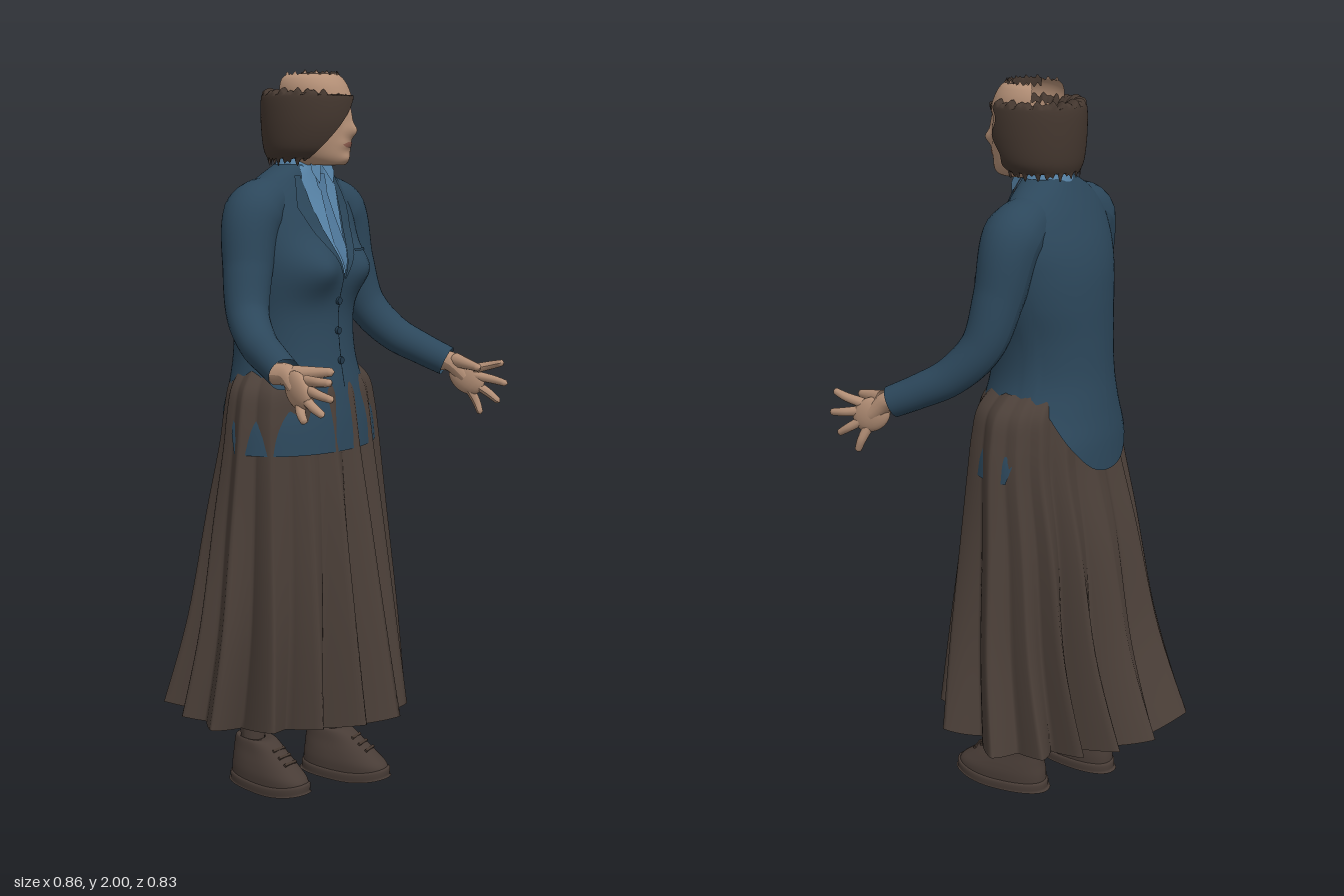
import * as THREE from 'three';

const mat = (name, color) => {
  const m = new THREE.MeshStandardMaterial({ color, side: THREE.DoubleSide });
  m.name = name;
  return m;
};
const M = {
  jacket: mat('jacket blue', 0x2c475b), trim: mat('dark navy', 0x223a4c), shirt: mat('shirt blue', 0x5884a8),
  tie: mat('tie blue', 0x4f789b), skirt: mat('skirt brown', 0x4c4039), hair: mat('hair brown', 0x44372f),
  shoe: mat('shoe brown', 0x483c36), skin: mat('skin', 0xb38f76), lip: mat('lip', 0x946253), mouth: mat('mouth pink', 0xcf6b62),
};

// Surface from a grid of points: u runs round or across, v runs upward or along
function grid(nu, nv, fn) {
  const pos = [], idx = [];
  for (let j = 0; j <= nv; j++) for (let i = 0; i <= nu; i++) pos.push(...fn(i / nu, j / nv));
  for (let j = 0; j < nv; j++) for (let i = 0; i < nu; i++) {
    const a = j * (nu + 1) + i, b = a + 1, c = a + nu + 1, d = c + 1;
    idx.push(a, b, d, a, d, c);
  }
  const g = new THREE.BufferGeometry();
  g.setAttribute('position', new THREE.Float32BufferAttribute(pos, 3));
  g.setIndex(idx);
  g.computeVertexNormals();
  return g;
}

// Smooth value between rings [y, centre x, half width, back z, front z]
function ringAt(rings, t) {
  const f = Math.min(t, 0.99999) * (rings.length - 1), i = Math.floor(f), k = f - i;
  const at = n => rings[Math.max(0, Math.min(rings.length - 1, n))];
  return rings[0].map((_, c) => {
    const [a, b, d, e] = [at(i - 1)[c], at(i)[c], at(i + 1)[c], at(i + 2)[c]];
    return b + 0.5 * k * (d - a + k * (2 * a - 5 * b + 4 * d - e + k * (3 * (b - d) + e - a)));
  });
}

// Stack of ellipses; power below 1 makes them squarer, start(angle) trims the lower edge
function loft(rings, { nu = 48, nv = 40, power = 1, start = () => 0, from = () => -Math.PI, to = () => Math.PI, bump, mod } = {}) {
  const sp = v => Math.sign(v) * Math.abs(v) ** power;
  return grid(nu, nv, (u, v) => {
    const edge = start(-Math.PI + 2 * Math.PI * u);
    const [y, cx, rx, zb, zf] = ringAt(rings, edge + (1 - edge) * v);
    const th = from(y) + (to(y) - from(y)) * u, c = Math.cos(th);
    const p = [cx + rx * sp(Math.sin(th)), y, (zb + zf) / 2 + (zf - zb) / 2 * sp(c)];
    if (bump && c > 0) p[2] += bump(p[0], y) * Math.min(1, c * 3);
    if (mod) mod(p, th, v);
    return p;
  });
}

// Front depth of a loft at x, y, so that plates can follow it
function frontZ(rings, bump, x, y) {
  let best = null;
  for (let i = 0; i <= 200; i++) {
    const r = ringAt(rings, i / 200);
    if (!best || Math.abs(r[0] - y) < Math.abs(best[0] - y)) best = r;
  }
  const [, cx, rx, zb, zf] = best;
  const s = Math.min(1, Math.abs((x - cx) / rx));
  return (zb + zf) / 2 + (zf - zb) / 2 * Math.sqrt(1 - s * s) + bump(x, y);
}

// Thin plate on a loft, from rows [y, left x, right x] listed upward
function plate(rings, bump, rows, off) {
  return grid(8, (rows.length - 1) * 6, (u, v) => {
    const f = Math.min(v, 0.99999) * (rows.length - 1), i = Math.floor(f);
    const [y, l, r] = rows[i].map((a, c) => a + (rows[i + 1][c] - a) * (f - i));
    const x = l + (r - l) * u;
    return [x, y, frontZ(rings, bump, x, y) + off];
  });
}

// Tapered tube through points [x, y, z, radius]
function limb(pts, nu = 16, nv = 28) {
  const curve = new THREE.CatmullRomCurve3(pts.map(p => new THREE.Vector3(p[0], p[1], p[2])));
  const { normals, binormals } = curve.computeFrenetFrames(nv);
  return grid(nu, nv, (u, v) => {
    const f = Math.min(curve.getUtoTmapping(v), 0.99999) * (pts.length - 1), i = Math.floor(f);
    const r = pts[i][3] + (pts[i + 1][3] - pts[i][3]) * (f - i), j = Math.round(v * nv), a = u * Math.PI * 2;
    return curve.getPointAt(v).addScaledVector(normals[j], r * Math.cos(a))
      .addScaledVector(binormals[j], r * Math.sin(a)).toArray();
  });
}

const bell = (x, y, cx, cy, sx, sy) => Math.exp(-(((x - cx) / sx) ** 2) - ((y - cy) / sy) ** 2);

const TORSO = [
  [1.0, 0.03, 0.26, -0.222, 0.161], [1.08, 0.03, 0.246, -0.216, 0.154], [1.16, 0.025, 0.209, -0.204, 0.142],
  [1.25, 0.02, 0.183, -0.193, 0.125], [1.35, 0.02, 0.184, -0.188, 0.115], [1.45, 0.025, 0.203, -0.185, 0.118],
  [1.53, 0.025, 0.215, -0.178, 0.11], [1.6, 0.025, 0.22, -0.16, 0.088], [1.67, 0.025, 0.205, -0.13, 0.06],
  [1.72, 0.025, 0.155, -0.104, 0.043], [1.76, 0.025, 0.078, -0.08, 0.035],
];
const bust = (x, y) => 0.047 * (bell(x, y, 0.115, 1.485, 0.07, 0.06) + bell(x, y, -0.07, 1.485, 0.07, 0.06));

const SKIRT = [
  [0.235, 0.035, 0.312, -0.385, 0.245], [0.5, 0.033, 0.293, -0.305, 0.22], [0.8, 0.034, 0.273, -0.25, 0.185],
  [1.0, 0.033, 0.262, -0.203, 0.158], [1.1, 0.03, 0.252, -0.188, 0.148], [1.17, 0.028, 0.234, -0.178, 0.136],
  [1.22, 0.025, 0.185, -0.165, 0.105],
];

const FACE = [
  [1.765, 0.033, 0.03, 0.0, 0.085], [1.757, 0.035, 0.046, -0.02, 0.112], [1.775, 0.033, 0.067, -0.05, 0.126],
  [1.81, 0.03, 0.08, -0.07, 0.129], [1.86, 0.028, 0.088, -0.08, 0.131], [1.92, 0.025, 0.093, -0.08, 0.134],
  [1.955, 0.022, 0.093, -0.08, 0.125], [1.98, 0.02, 0.084, -0.07, 0.11], [1.993, 0.02, 0.07, -0.05, 0.094],
];
const features = (x, y) => 0.027 * bell(x, y, 0.038, 1.845, 0.015, 0.02) + 0.012 * bell(x, y, 0.036, 1.88, 0.01, 0.03)
  + 0.007 * bell(x, y, 0.036, 1.812, 0.025, 0.014) + 0.006 * bell(x, y, 0.036, 1.772, 0.02, 0.014)
  - 0.01 * (bell(x, y, 0.068, 1.9, 0.018, 0.013) + bell(x, y, 0.0, 1.9, 0.018, 0.013));

const HAIR = [
  [1.768, 0.022, 0.09, -0.1, 0.085], [1.8, 0.022, 0.112, -0.111, 0.118], [1.86, 0.021, 0.121, -0.117, 0.138],
  [1.92, 0.02, 0.122, -0.117, 0.142], [1.944, 0.02, 0.116, -0.11, 0.135], [1.948, 0.02, 0.092, -0.09, 0.11],
  [1.93, 0.02, 0.076, -0.065, 0.09],
];
const CROWN = [[1.991, 0.02, 0.075, -0.055, 0.099], [1.996, 0.02, 0.069, -0.05, 0.092], [1.975, 0.02, 0.068, -0.05, 0.091]];

export function createModel() {
  const root = new THREE.Group();
  const add = (name, geo, material, parent = root) => {
    const m = new THREE.Mesh(geo, material);
    m.name = name;
    parent.add(m);
    return m;
  };
  const group = name => {
    const g = new THREE.Group();
    g.name = name;
    root.add(g);
    return g;
  };

  // Skirt: uneven sharp pleats that deepen toward the hem, hanging closer along one diagonal
  add('pleatedSkirt', loft(SKIRT, {
    nu: 220, nv: 36,
    mod(p, th) {
      const s = 15 * th + 1.2 * Math.sin(3 * th) + 0.8 * Math.sin(2 * th + 1);
      const wave = Math.asin(Math.sin(s)) * 2 / Math.PI * (0.8 + 0.25 * Math.sin(5 * th + 2));
      const drop = Math.max(0, (1.22 - p[1]) / 0.98);
      const a = (0.007 + 0.048 * drop ** 1.4) * wave, cling = 0.055 * drop * Math.max(0, Math.cos(2 * (th - 2.36)));
      p[0] += (a - cling) * Math.sin(th) + 0.5 * a * Math.cos(th) * drop;
      p[2] += (a - cling) * Math.cos(th) - 0.5 * a * Math.sin(th) * drop;
      p[1] += 0.015 * wave * drop ** 4;
    },
  }), M.skirt);

  // Jacket, its hem rising to the hips at the back, with shirt, tie, lapels, pocket and buttons
  const jacket = group('jacket');
  add('jacketBody', loft(TORSO, {
    nu: 72, nv: 60, bump: bust,
    start: th => 0.23 * Math.min(1, 1.3 * Math.sin(th) ** 2) * THREE.MathUtils.clamp(-4 * Math.cos(th) - 0.4, 0, 1),
  }), M.jacket, jacket);
  const onTorso = (name, rows, off, material) => add(name, plate(TORSO, bust, rows, off), material, jacket);
  onTorso('shirtFront', [[1.47, 0.011, 0.018], [1.6, -0.029, 0.064], [1.7, -0.05, 0.098], [1.755, -0.035, 0.085]], 0.004, M.shirt);
  onTorso('tie', [[1.48, 0.012, 0.019], [1.55, -0.005, 0.045], [1.69, 0.012, 0.038], [1.7, 0.005, 0.045], [1.735, 0.003, 0.047]], 0.008, M.tie);
  onTorso('rightLapel', [[1.46, 0.008, 0.014], [1.58, -0.06, -0.022], [1.65, -0.09, -0.04], [1.73, -0.065, -0.048]], 0.007, M.jacket);
  onTorso('leftLapel', [[1.46, 0.016, 0.022], [1.58, 0.058, 0.1], [1.65, 0.08, 0.13], [1.73, 0.095, 0.11]], 0.007, M.jacket);
  onTorso('frontOpening', [[1.17, 0.009, 0.012], [1.46, 0.014, 0.017]], 0.003, M.trim);
  onTorso('breastPocket', [[1.53, 0.075, 0.17], [1.536, 0.075, 0.17]], 0.004, M.trim);
  for (const y of [1.24, 1.32, 1.4]) {
    const b = add('button', new THREE.CylinderGeometry(0.01, 0.01, 0.008, 14), M.trim, jacket);
    b.rotation.x = Math.PI / 2;
    b.position.set(0.013, y, frontZ(TORSO, bust, 0.013, y) + 0.003);
  }

  // Neck and shirt collar
  add('neck', limb([[0.026, 1.71, -0.03, 0.056], [0.027, 1.76, -0.015, 0.052], [0.028, 1.81, 0, 0.054]], 24, 8), M.skin);
  add('shirtCollar', loft([[1.735, 0.025, 0.078, -0.09, 0.045], [1.765, 0.025, 0.064, -0.083, 0.045],
    [1.785, 0.026, 0.058, -0.078, 0.04]], { nv: 6, mod(p, th, v) { p[1] -= 0.02 * v * Math.max(0, Math.cos(th)); } }), M.shirt);
  for (const s of [-1, 1]) {
    const flap = new THREE.Shape([[0, 0.015], [s * 0.045, 0.03], [s * 0.05, -0.005], [s * 0.03, -0.04]].map(p => new THREE.Vector2(...p)));
    const m = add('collarPoint', new THREE.ShapeGeometry(flap), M.shirt);
    m.position.set(0.025, 1.745, 0.057);
    m.rotation.x = -0.35;
  }

  // Arms: sleeve, palm, four fingers and thumb
  const arms = {
    left: {
      sleeve: [[0.1, 1.675, -0.035, 0.06], [0.212, 1.63, -0.03, 0.08], [0.258, 1.49, -0.015, 0.066], [0.293, 1.365, 0.015, 0.056],
        [0.327, 1.285, 0.085, 0.05], [0.358, 1.24, 0.165, 0.045], [0.382, 1.207, 0.235, 0.042]],
      palm: [0.392, 1.165, 0.295],
      tips: [[0.4, 1.215, 0.41], [0.407, 1.155, 0.42], [0.41, 1.1, 0.395], [0.408, 1.06, 0.335]], thumb: [0.348, 1.2, 0.365],
    },
    right: {
      sleeve: [[-0.05, 1.675, -0.035, 0.06], [-0.162, 1.63, -0.03, 0.08], [-0.206, 1.49, -0.015, 0.066], [-0.243, 1.375, 0.015, 0.056],
        [-0.288, 1.31, 0.085, 0.05], [-0.335, 1.28, 0.165, 0.045], [-0.374, 1.255, 0.235, 0.042]],
      palm: [-0.4, 1.225, 0.295],
      tips: [[-0.418, 1.255, 0.41], [-0.425, 1.215, 0.42], [-0.43, 1.175, 0.395], [-0.425, 1.15, 0.335]], thumb: [-0.345, 1.27, 0.365],
    },
  };
  for (const [side, a] of Object.entries(arms)) {
    const arm = group(side + 'Arm'), w = a.sleeve.at(-1), q = a.palm;
    add('sleeve', limb(a.sleeve, 24, 48), M.jacket, arm);
    add('wrist', limb([[w[0], w[1], w[2] - 0.03, 0.028], [w[0], w[1], w[2] + 0.01, 0.028], [...q, 0.022]], 14, 8), M.skin, arm);
    const palm = add('palm', new THREE.SphereGeometry(1, 20, 14), M.skin, arm);
    palm.scale.set(0.02, 0.044, 0.058);
    palm.position.set(...q);
    palm.lookAt(2 * q[0] - w[0], 2 * q[1] - w[1], 2 * q[2] - w[2]);
    a.tips.forEach((t, i) => {
      const base = [q[0], q[1] + 0.026 - i * 0.018, q[2] + 0.025 - i * 0.006];
      const mid = base.map((b, k) => b + (t[k] - b) * 0.55 + (k === 0 ? Math.sign(q[0]) * 0.006 : 0));
      const end = t.map((c, k) => c - (c - base[k]) * 0.06);
      add('finger', limb([[...base, 0.014], [...mid, 0.012], [...end, 0.009], [...t, 0.001]], 10, 14), M.skin, arm);
    });
    const b = [w[0], w[1] + 0.005, w[2] + 0.03];
    const m = b.map((c, k) => c + (a.thumb[k] - c) * 0.6), e = b.map((c, k) => c + (a.thumb[k] - c) * 0.94);
    add('thumb', limb([[...b, 0.021], [...m, 0.014], [...e, 0.01], [...a.thumb, 0.001]], 10, 14), M.skin, arm);
  }

  // Head: open face shell, hair wrapping the back and falling over one eye
  const head = group('head');
  const jag = th => 0.006 * Math.sin(23 * th) * Math.sin(7 * th);
  add('face', loft(FACE, {
    nu: 90, nv: 70, from: () => -2, to: () => 2, bump: features,
    mod(p, th, v) { if (v > 0.97) p[1] += jag(th); },
  }), M.skin, head);
  add('crownEdge', loft(CROWN, {
    nu: 90, nv: 8, from: () => -1.3, to: () => 1.3,
    mod(p, th, v) { if (v > 0.3) p[1] += jag(th); },
  }), M.hair, head);
  add('hair', loft(HAIR, {
    nu: 120, nv: 40,
    from: y => 1.0 + 0.1 * Math.sin(y * 70),
    to: y => Math.PI * 2 + THREE.MathUtils.clamp(-0.75 + (y - 1.78) * 6.8, -0.85, 0.38),
    mod(p, th, v) {
      const n = Math.sin(19 * th) + Math.sin(31 * th + 1);
      if (v < 0.05) p[1] += 0.007 * n;
      if (v > 0.6) p[1] += 0.004 * n - 0.012 * THREE.MathUtils.smoothstep(th, 5.3, 6.2);
    },
  }), M.hair, head);
  const onFace = (name, rows, off, material) => add(name, plate(FACE, features, rows, off), material, head);
  onFace('eyebrow', [[1.92, 0.05, 0.085], [1.926, 0.05, 0.09]], 0.002, M.hair);
  onFace('eye', [[1.897, 0.062, 0.07], [1.901, 0.053, 0.082], [1.905, 0.06, 0.075]], 0.002, M.hair);
  onFace('lips', [[1.803, 0.025, 0.047], [1.81, 0.013, 0.06], [1.817, 0.028, 0.045]], 0.002, M.lip);
  for (const [x, z] of [[0.066, 0.076], [-0.006, 0.082]]) {
    add('eyeballBack', new THREE.SphereGeometry(0.015, 16, 12), M.mouth, head).position.set(x, 1.9, z);
  }
  const mouth = add('mouthLining', new THREE.SphereGeometry(1, 24, 16), M.mouth, head);
  mouth.scale.set(0.053, 0.038, 0.045);
  mouth.position.set(0.025, 1.825, 0.045);

  // Legs and shoes, the left one stepping forward
  for (const [side, x, z, yaw] of [['left', 0.127, 0.07, 0.1], ['right', -0.083, -0.045, -0.1]]) {
    const foot = group(side + 'Foot');
    foot.position.set(x, 0, z);
    foot.rotation.y = yaw;
    add('leg', limb([[0, 0.1, -0.068, 0.034], [0, 0.22, -0.065, 0.036], [0, 0.4, -0.05, 0.05], [0, 0.65, -0.03, 0.06]], 18, 16), M.shoe, foot);
    add('sole', loft([[0.006, 0, 0.001, -0.01, 0.0], [0.006, 0, 0.056, -0.138, 0.135], [0.01, 0, 0.06, -0.14, 0.14],
      [0.032, 0, 0.061, -0.14, 0.141], [0.036, 0, 0.05, -0.13, 0.13]],
    { nv: 16, power: 0.85, mod(p) { p[1] += 0.02 * Math.max(0, p[2] / 0.14) ** 2; } }), M.shoe, foot);
    add('shoeUpper', loft([[0.03, 0, 0.057, -0.135, 0.136], [0.058, 0, 0.058, -0.134, 0.132], [0.085, 0, 0.054, -0.13, 0.1],
      [0.115, 0, 0.047, -0.127, 0.06], [0.148, 0, 0.041, -0.118, 0.01], [0.145, 0, 0.03, -0.1, -0.03]], { nv: 24, power: 0.85 }), M.shoe, foot);
    for (const i of [0, 1, 2]) {
      const lace = add('lace', new THREE.BoxGeometry(0.045, 0.006, 0.008), M.hair, foot);
      lace.position.set(0, 0.1 + i * 0.015, 0.08 - i * 0.022);
      lace.rotation.x = 0.5;
    }
  }
  return root;
}
